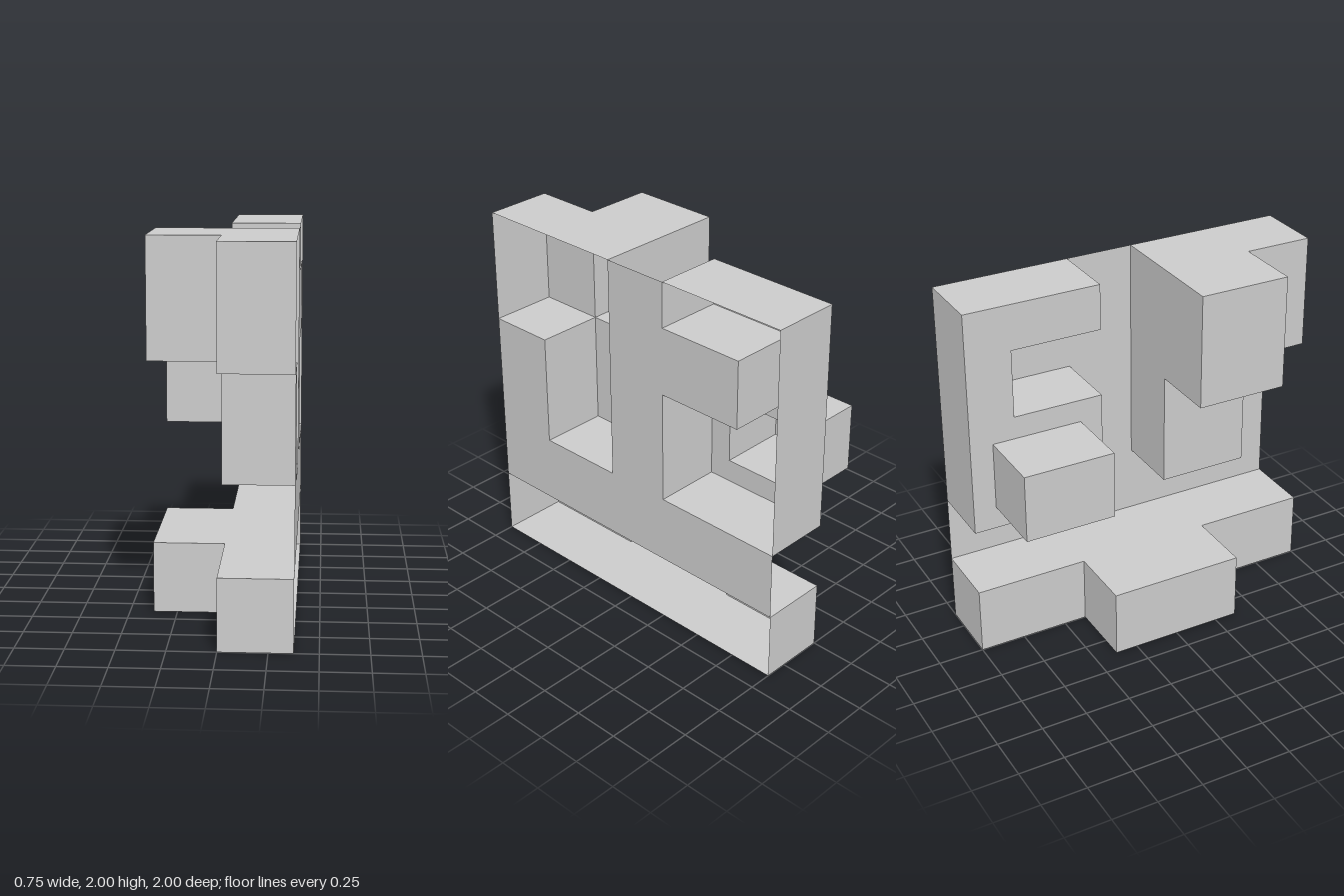
import * as THREE from 'three';
import { mergeGeometries } from 'three/addons/utils/BufferGeometryUtils.js';

const D = 0.375; // depth of one layer
const material = new THREE.MeshStandardMaterial({ color: 0xcccccc, side: THREE.DoubleSide });

// Outlines are counter-clockwise in (-z, y); depth runs along x.
const rect = (u0, v0, u1, v1) => [[u0, v0], [u1, v0], [u1, v1], [u0, v1]];
const toPoints = (outline) => outline.map(([u, v]) => new THREE.Vector2(u, v));

// Side walls swept along an outline from depth w0 to w1
function walls(outline, w0, w1) {
  const pos = [];
  outline.forEach(([au, av], i) => {
    const [bu, bv] = outline[(i + 1) % outline.length];
    pos.push(au, av, w0, bu, bv, w0, bu, bv, w1, au, av, w0, bu, bv, w1, au, av, w1);
  });
  const g = new THREE.BufferGeometry();
  g.setAttribute('position', new THREE.Float32BufferAttribute(pos, 3));
  g.computeVertexNormals();
  return g;
}

// Flat sheet at depth w, facing +x or, when back is true, -x
function sheet(outline, w, back = false, hole = null) {
  const shape = new THREE.Shape(toPoints(outline));
  if (hole) shape.holes.push(new THREE.Path(toPoints(hole)));
  const g = new THREE.ShapeGeometry(shape);
  if (back) g.index.array.reverse();
  const flat = g.toNonIndexed();
  flat.deleteAttribute('uv');
  flat.computeVertexNormals();
  return flat.translate(0, 0, w);
}

export function createModel() {
  const group = new THREE.Group();
  group.name = 'interlockingBlocks';
  const add = (name, parts) => {
    const geometry = mergeGeometries(parts).rotateY(Math.PI / 2);
    const mesh = new THREE.Mesh(geometry, material);
    mesh.name = name;
    group.add(mesh);
  };
  // Stub on the inner layer, open towards the block it joins
  const stub = (name, r) => add(name, [walls(r, -D, 0), sheet(r, -D, true)]);

  // Base bar, open on its outer side, with a stub in the middle
  add('baseBar', [
    walls(rect(-1, 0, 1, D), 0, D),
    sheet(rect(-1, 0, -D, D), 0, true),
    sheet(rect(D, 0, 1, D), 0, true),
  ]);
  stub('baseStub', rect(-D, 0, D, D));

  // Rear C-shaped block with a cube stub
  const rear = [[0.25, 0.75], [1, 0.75], [1, 2], [0.25, 2],
    [0.25, 1.75], [0.75, 1.75], [0.75, 1.375], [0.25, 1.375]];
  const cube = rect(0.375, 0.875, 0.875, 1.25);
  add('rearBlock', [walls(rear, 0, D), sheet(rear, 0, true, cube)]);
  stub('rearStub', cube);

  // Front L-shaped block with a tall stub
  const front = [[-0.625, 0.75], [-0.125, 0.75], [-0.125, 2],
    [-1, 2], [-1, 1.375], [-0.625, 1.375]];
  add('frontBlock', [
    walls(front, 0, D),
    sheet(rect(-0.625, 0.75, -0.125, 1.375), 0, true),
    sheet(rect(-1, 1.375, -0.625, 2), 0, true),
  ]);
  stub('frontStub', rect(-0.625, 1.375, -0.125, 2));

  // Thin outer panel filling the space between the blocks
  add('outerPanel', [sheet([
    [-1, 0.375], [1, 0.375], [1, 0.75], [0.25, 0.75], [0.25, 1.375],
    [0.75, 1.375], [0.75, 1.75], [0.25, 1.75], [0.25, 2], [-0.125, 2],
    [-0.125, 0.75], [-0.625, 0.75], [-0.625, 1.375], [-1, 1.375],
  ], D)]);

  return group;
}
